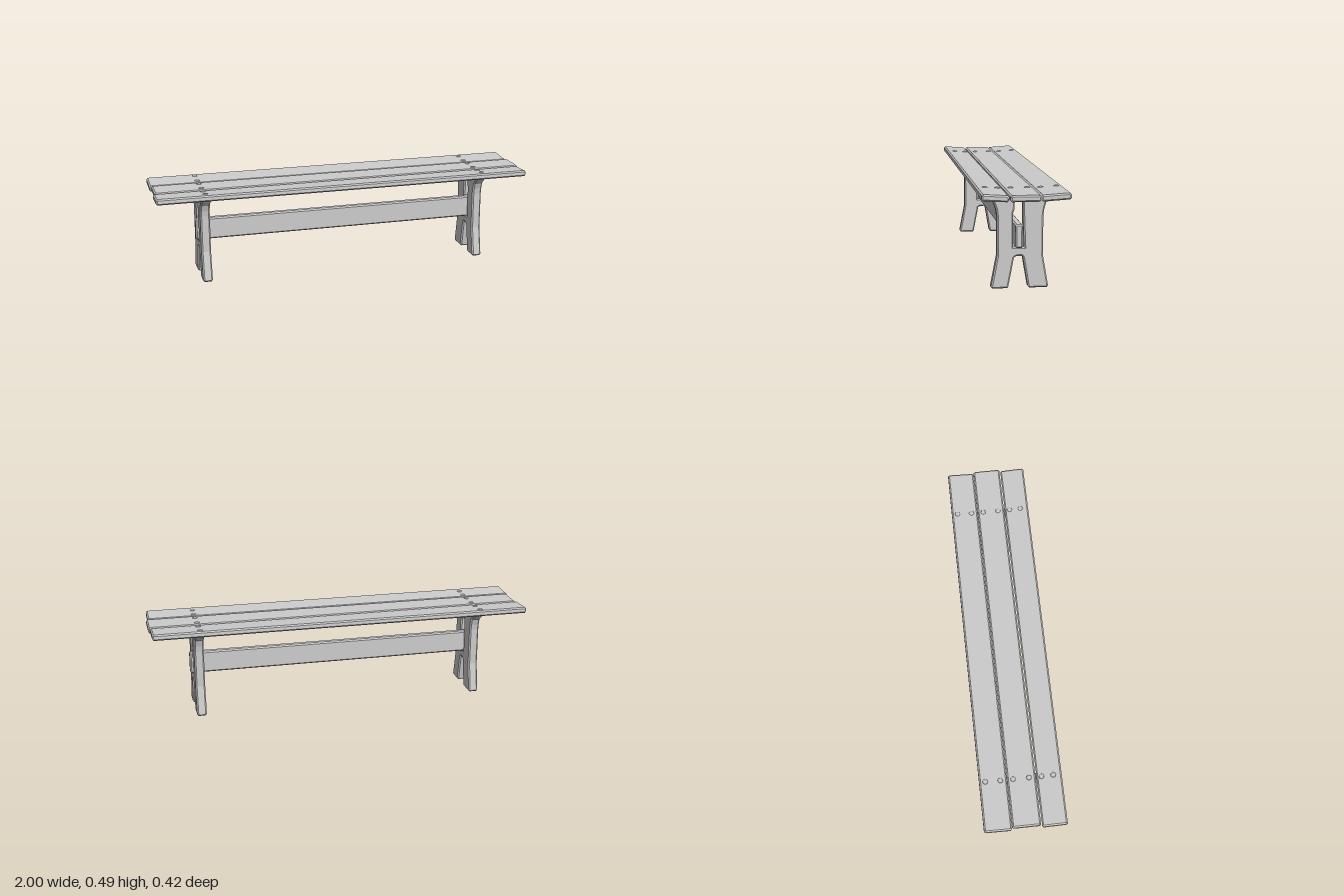
import * as THREE from 'three';

const material = new THREE.MeshStandardMaterial({ color: 0xcccccc, flatShading: true });

// Extrudes a [z, y] outline along x, centred, with chamfered end edges.
function extrudeAlongX(outline, length, bevel) {
  const shape = new THREE.Shape(outline.map(([z, y]) => new THREE.Vector2(z, y)));
  const geometry = new THREE.ExtrudeGeometry(shape, {
    depth: length - 2 * bevel,
    bevelEnabled: true, bevelSegments: 1,
    bevelThickness: bevel, bevelSize: bevel, bevelOffset: -bevel,
  });
  geometry.translate(0, 0, bevel - length / 2);
  geometry.rotateY(-Math.PI / 2);
  return geometry;
}

// Rectangle with cut corners, for sawn timber.
function timberSection(width, height, cut) {
  const w = width / 2, h = height / 2;
  return [
    [w - cut, -h], [w, -h + cut], [w, h - cut], [w - cut, h],
    [-w + cut, h], [-w, h - cut], [-w, -h + cut], [-w + cut, -h],
  ];
}

function addMesh(parent, name, geometry, x, y, z) {
  const mesh = new THREE.Mesh(geometry, material);
  mesh.name = name;
  mesh.position.set(x, y, z);
  parent.add(mesh);
  return mesh;
}

export function createModel() {
  const bench = new THREE.Group();
  bench.name = 'bench';

  // Seat planks: the outer two tip up slightly; bolts ride on each plank
  const planks = [
    { name: 'frontPlank', x: -0.005, y: 0.4695, z: 0.145, width: 0.127, tilt: -0.065, bolts: [0.021, -0.038] },
    { name: 'middlePlank', x: 0.004, y: 0.467, z: 0.005, width: 0.143, tilt: 0, bolts: [0.038, -0.042] },
    { name: 'backPlank', x: -0.005, y: 0.4695, z: -0.138, width: 0.139, tilt: 0.065, bolts: [0.036, -0.04] },
  ];
  const boltGeometry = new THREE.SphereGeometry(0.014, 8, 3, 0, Math.PI * 2, 0, Math.PI / 2);
  boltGeometry.scale(1, 0.45, 1);
  for (const p of planks) {
    const plank = new THREE.Group();
    plank.name = p.name;
    plank.position.set(p.x, p.y, p.z);
    plank.rotation.x = p.tilt;
    bench.add(plank);
    addMesh(plank, 'board', extrudeAlongX(timberSection(p.width, 0.031, 0.007), 1.99, 0.007), 0, 0, 0);
    for (const x of [-0.747, 0.747]) {
      for (const z of p.bolts) addMesh(plank, 'bolt', boltGeometry, x - p.x, 0.0152, z);
    }
  }

  // Trestle legs: splayed feet, flared top and an open slot for the stretcher
  const legOutline = [
    [0.132, 0], [0.139, 0.008], [0.11, 0.157], [0.11, 0.35], [0.114, 0.38], [0.124, 0.41],
    [0.165, 0.453], [0.025, 0.449], [0.026, 0.38], [0.032, 0.365], [0.032, 0.2],
    [-0.021, 0.2], [-0.015, 0.36], [-0.015, 0.449], [-0.182, 0.455],
    [-0.127, 0.415], [-0.117, 0.38], [-0.113, 0.35], [-0.112, 0.157], [-0.138, 0.008], [-0.131, 0],
    [-0.045, 0], [-0.039, 0.008], [-0.015, 0.148], [-0.008, 0.156], [0.017, 0.156],
    [0.028, 0.148], [0.055, 0.008], [0.06, 0],
  ];
  const legGeometry = extrudeAlongX(legOutline, 0.05, 0.007);
  addMesh(bench, 'leftLeg', legGeometry, 0.75, 0, 0);
  addMesh(bench, 'rightLeg', legGeometry, -0.743, 0, 0);

  // Stretcher board running through both legs
  addMesh(bench, 'stretcher', extrudeAlongX(timberSection(0.036, 0.115, 0.007), 1.57, 0.007), 0.004, 0.254, 0.005);

  return bench;
}
